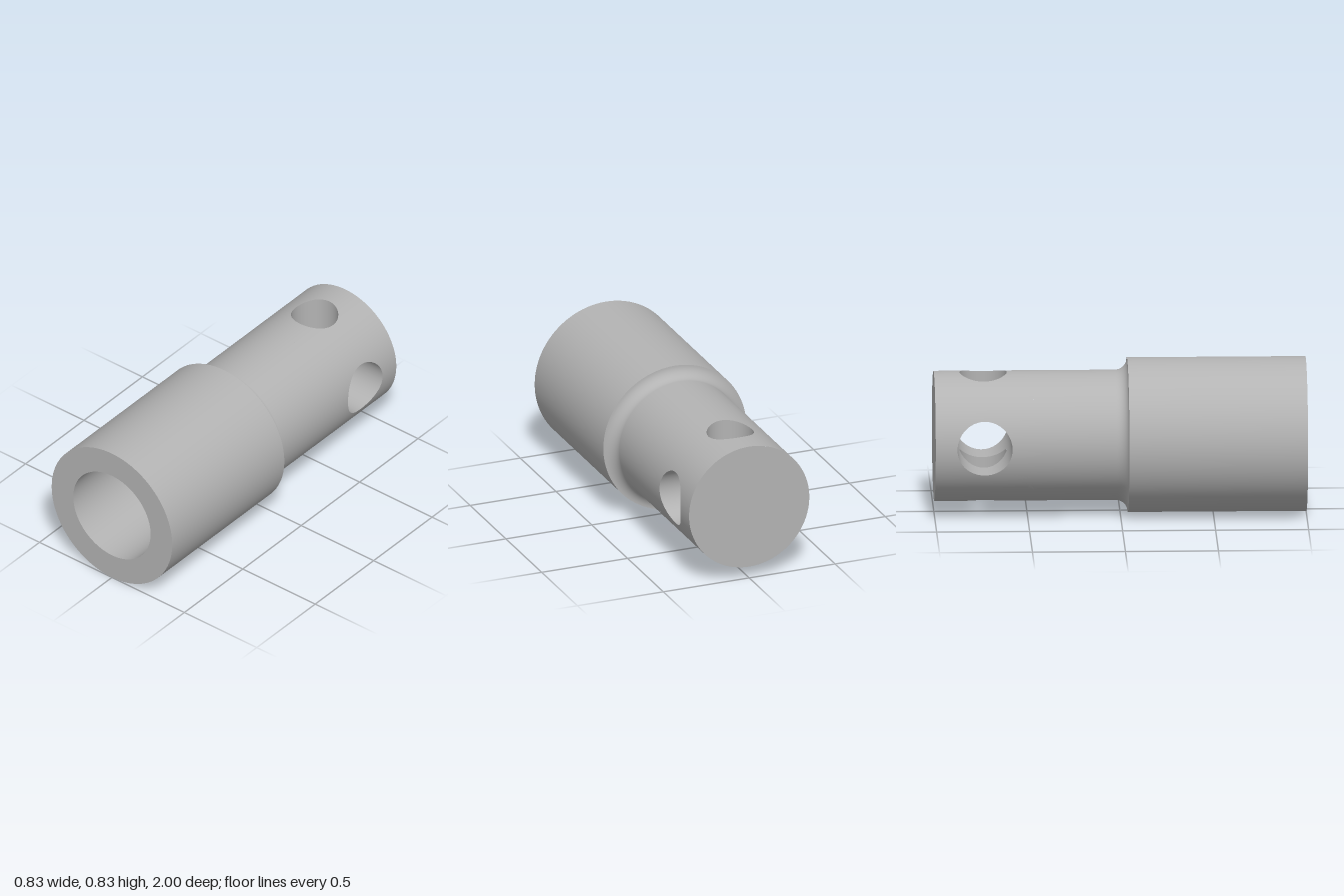
import * as THREE from 'three';

const SEG = 96;
const R_BODY = 0.416, R_SHANK = 0.35, R_BORE = 0.267;
const FILLET = R_BODY - R_SHANK, Z_STEP = 0.04, Z_BORE_END = 0.08;
const Z_HOLE = -0.735, HALF = 1 + Z_HOLE; // drilled zone reaches the back end
const R_SIDE = 0.148, R_TOP = 0.127;

// Grid surface from a rule giving a point and its normal
function gridSurface(nu, nv, rule) {
  const pos = [], nor = [], idx = [];
  for (let i = 0; i <= nu; i++) {
    for (let j = 0; j <= nv; j++) {
      const [p, n] = rule(i / nu, j / nv);
      pos.push(...p);
      nor.push(...n);
      if (i < nu && j < nv) {
        const a = i * (nv + 1) + j, b = a + nv + 1;
        idx.push(a, b, b + 1, a, b + 1, a + 1);
      }
    }
  }
  const g = new THREE.BufferGeometry();
  g.setAttribute('position', new THREE.Float32BufferAttribute(pos, 3));
  g.setAttribute('normal', new THREE.Float32BufferAttribute(nor, 3));
  g.setIndex(idx);
  return g;
}

// Quarter of the shank skin, with a round hole of radius a facing +x
function drilledSkin(a) {
  return gridSurface(SEG, 10, (u, t) => {
    const f = u * Math.PI * 2, s = Math.sin(f), c = Math.cos(f);
    const m = Math.max(Math.abs(s), Math.abs(c));
    const th = THREE.MathUtils.lerp(Math.asin(a * s / R_SHANK), s / m * Math.PI / 4, t);
    const z = Z_HOLE + THREE.MathUtils.lerp(a * c, c / m * HALF, t);
    const nx = Math.cos(th), ny = Math.sin(th);
    return [[R_SHANK * nx, R_SHANK * ny, z], [nx, ny, 0]];
  });
}

// Wall of the hole, ending where it meets the crossing hole of radius b
function holeWall(a, b) {
  return gridSurface(SEG, 4, (u, t) => {
    const f = u * Math.PI * 2, y = a * Math.sin(f), dz = a * Math.cos(f);
    const inner = Math.sqrt(Math.max(0, b * b - dz * dz));
    const outer = Math.sqrt(R_SHANK * R_SHANK - y * y);
    return [[THREE.MathUtils.lerp(inner, outer, t), y, Z_HOLE + dz],
      [0, -Math.sin(f), -Math.cos(f)]];
  });
}

export function createModel() {
  const model = new THREE.Group();
  const metal = new THREE.MeshStandardMaterial({ color: 0xb3b3b3 });
  metal.name = 'plain grey metal';

  const add = (name, geometry, turn = 0) => {
    const mesh = new THREE.Mesh(geometry, metal);
    mesh.name = name;
    mesh.rotation.z = turn;
    mesh.position.y = R_BODY;
    model.add(mesh);
  };
  // Turned surface about the long axis, points given as [radius, z]
  const turned = (name, points) => add(name, new THREE.LatheGeometry(
    points.map(([r, z]) => new THREE.Vector2(r, z)), SEG).rotateX(Math.PI / 2));

  // Shank, flowing into the concave fillet
  const neck = [[R_SHANK, Z_HOLE + HALF]];
  for (let i = 0; i <= 12; i++) {
    const a = i / 12 * Math.PI / 2;
    neck.push([R_BODY - FILLET * Math.cos(a), Z_STEP - FILLET + FILLET * Math.sin(a)]);
  }
  turned('shankAndFillet', neck);
  turned('backFace', [[0, -1], [R_SHANK, -1]]);

  // Socket body with a blind bore
  turned('socketBody', [[R_BODY, Z_STEP], [R_BODY, 1]]);
  turned('frontRim', [[R_BODY, 1], [R_BORE, 1]]);
  turned('boreWall', [[R_BORE, 1], [R_BORE, Z_BORE_END]]);
  turned('boreFloor', [[R_BORE, Z_BORE_END], [0, Z_BORE_END]]);

  // Drilled end: wide hole side to side, narrower hole top to bottom
  for (let q = 0; q < 4; q++) {
    const [a, b] = q % 2 ? [R_TOP, R_SIDE] : [R_SIDE, R_TOP];
    const name = ['left', 'top', 'right', 'bottom'][q];
    add(name + 'DrilledSkin', drilledSkin(a), q * Math.PI / 2);
    add(name + 'HoleWall', holeWall(a, b), q * Math.PI / 2);
  }
  return model;
}
